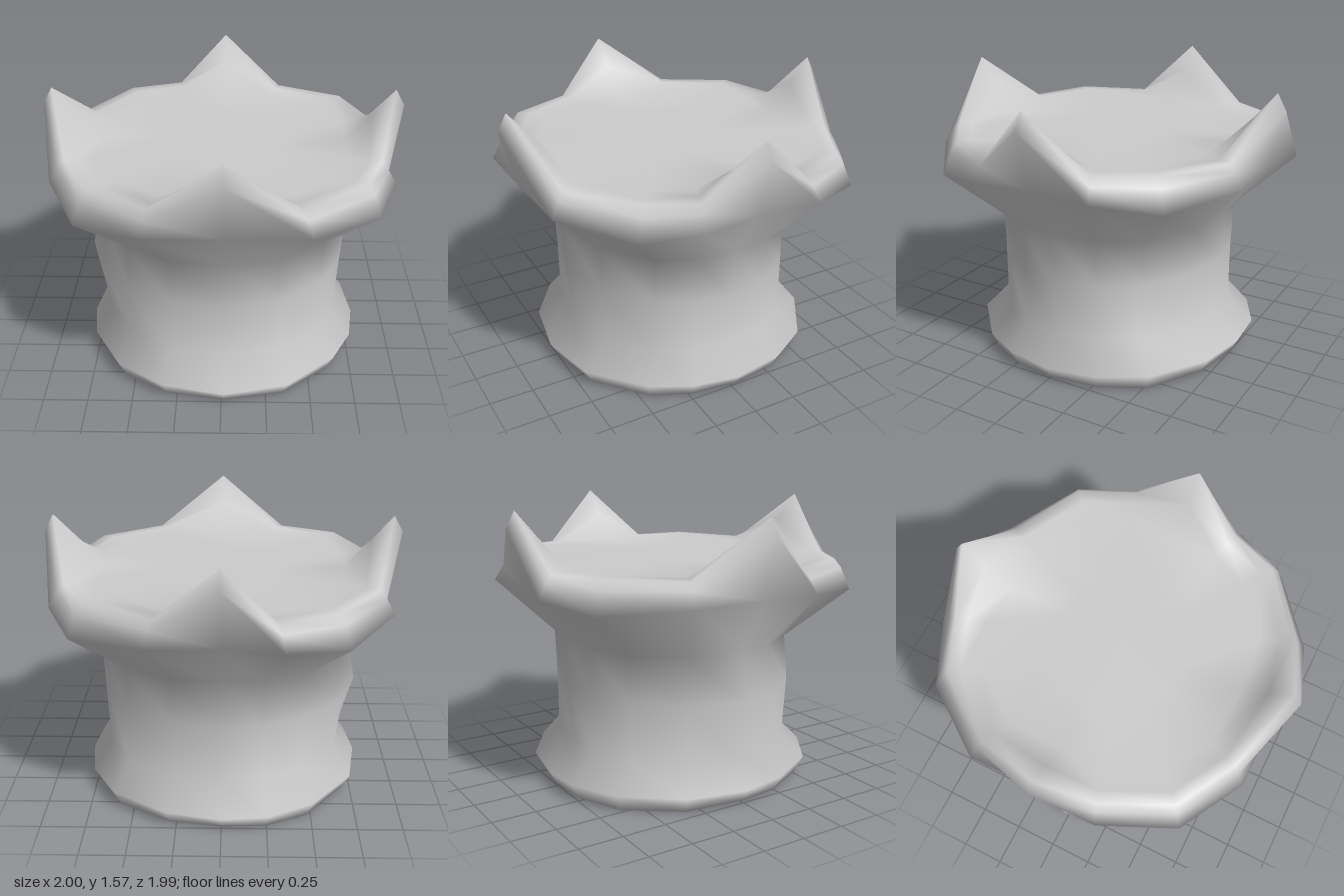
import * as THREE from 'three';

const SIDES = 16;
// slightly uneven, hand-cut angles (degrees) and radius factors around the tower
const ANGLES = [-1, 18, 36, 63, 89, 114, 137, 162, 181, 206, 232, 252, 270, 292, 318, 338];
const FACTOR = [1, 0.99, 0.99, 1, 0.99, 0.99, 1, 0.99, 1, 1.02, 1.02, 1.02, 1, 1, 1.02, 1.01];

// each ring: [radius, height] at a crown point, beside it, and midway between two points
const ring = (peak, side = peak, mid = side) => ({ peak, side, mid });
const RINGS = [
  // flat top with the inner slopes of the four points
  ring([0.35, 1.265]),
  ring([0.69, 1.27], [0.74, 1.265], [0.75, 1.265]),
  ring([0.83, 1.43], [0.84, 1.275], [0.87, 1.28]),
  ring([0.95, 1.57], [0.91, 1.27], [0.94, 1.28]),
  // flared crown
  ring([1.0, 1.48], [0.95, 1.23], [0.98, 1.23]),
  ring([0.91, 1.15], [1.0, 1.15], [1.03, 1.11]),
  // waist
  ring([0.72, 0.86], [0.71, 0.84], [0.7, 0.83]),
  ring([0.71, 0.58], [0.7, 0.58]),
  ring([0.69, 0.26], [0.7, 0.25]),
  // foot and underside
  ring([0.8, 0.09], [0.81, 0.1]),
  ring([0.76, 0.02], [0.76, 0.01], [0.76, 0.0]),
  ring([0.4, 0.03]),
];

function towerGeometry() {
  const positions = [], indices = [];
  RINGS.forEach((r) => {
    for (let i = 0; i < SIDES; i++) {
      const a = THREE.MathUtils.degToRad(ANGLES[i]);
      const [radius, y] = [r.peak, r.side, r.mid, r.side][i % 4];
      const onWaist = y > 0.2 && y < 0.9;
      let d = radius * FACTOR[i];
      // bulge on one side, halfway up the waist
      if (y > 0.5 && y < 0.7) d += 0.07 * Math.max(0, -Math.cos(a)) ** 4;
      // the waist is a little narrower front to back
      positions.push(d * Math.cos(a), y, d * Math.sin(a) * (onWaist ? 0.94 : 1));
    }
  });
  // centres of the top and the underside
  const top = positions.length / 3, bottom = top + 1;
  positions.push(0, 1.265, 0, 0, 0.03, 0);
  const last = (RINGS.length - 1) * SIDES;
  for (let i = 0; i < SIDES; i++) {
    const j = (i + 1) % SIDES;
    indices.push(top, j, i, last + i, last + j, bottom);
    for (let p = 0; p < last; p += SIDES) {
      const q = p + SIDES;
      indices.push(p + i, p + j, q + i, p + j, q + j, q + i);
    }
  }
  const geometry = new THREE.BufferGeometry();
  geometry.setAttribute('position', new THREE.Float32BufferAttribute(positions, 3));
  geometry.setIndex(indices);
  geometry.computeVertexNormals();
  return geometry;
}

export function createModel() {
  const group = new THREE.Group();
  group.name = 'crownedTower';
  const tower = new THREE.Mesh(towerGeometry(), new THREE.MeshStandardMaterial({ color: 0xcccccc }));
  tower.name = 'towerBody';
  group.add(tower);
  return group;
}
